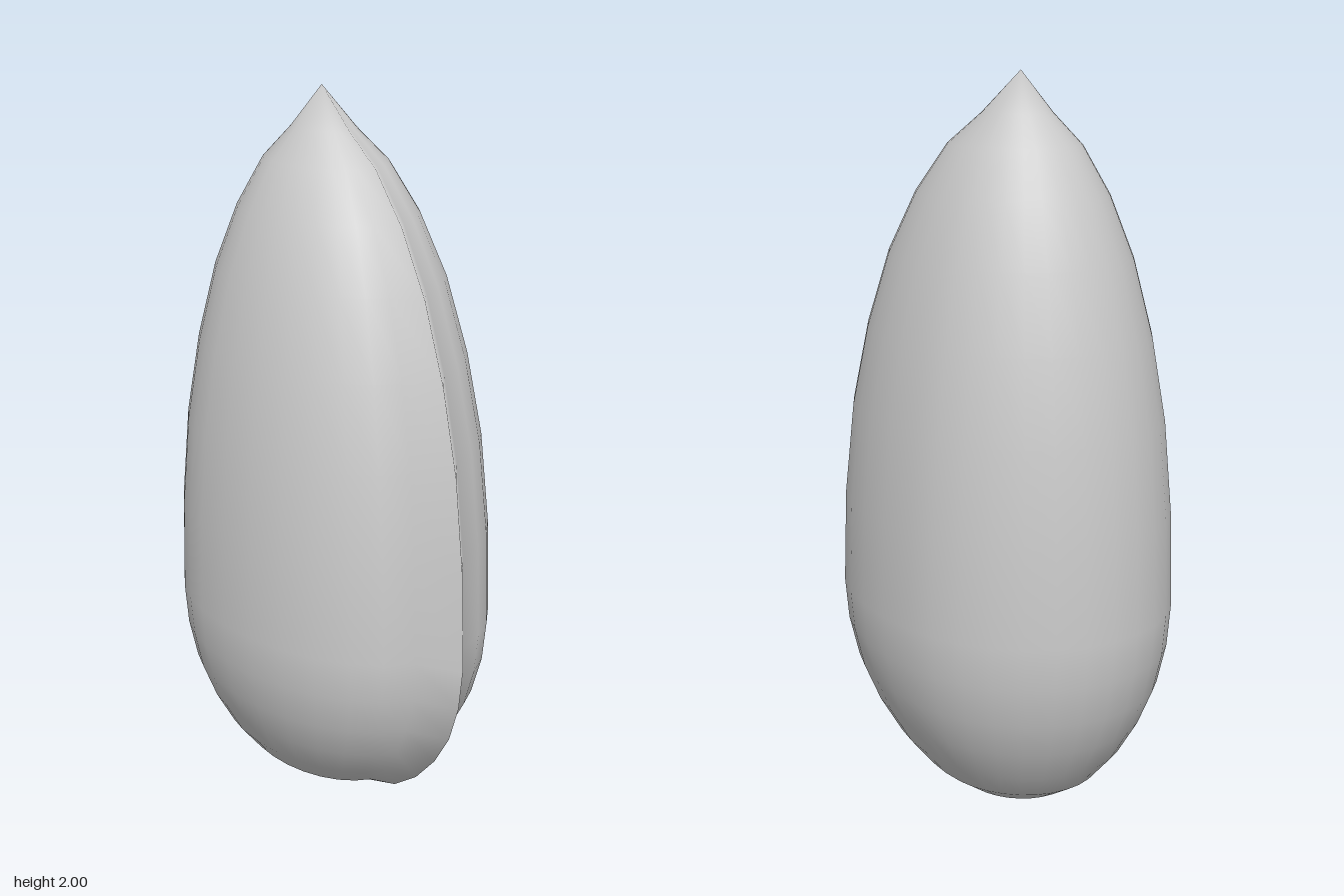
import * as THREE from 'three';
import { mergeVertices } from 'three/addons/utils/BufferGeometryUtils.js';

const SEGMENTS = 32;
const HALF_WIDTH = 0.4, BACK_DEPTH = 0.435, FRONT_DEPTH = 0.58, RIDGE_DEPTH = 0.672;
const AXIS_Z = -0.12;

// Silhouette from the rounded base to the pointed tip: [half width, height]
const PROFILE = [
  [0, 0], [0.08, 0.015], [0.153, 0.05], [0.222, 0.1], [0.283, 0.18], [0.333, 0.275],
  [0.37, 0.375], [0.392, 0.485], [0.4, 0.6], [0.392, 0.86], [0.37, 1.11], [0.333, 1.33],
  [0.283, 1.53], [0.222, 1.69], [0.153, 1.815], [0.08, 1.895], [0, 2],
];

// Turned body, reshaped into a teardrop section with a sharp ridge along the front
function podGeometry() {
  const points = PROFILE.map(([r, y]) => new THREE.Vector2(r / HALF_WIDTH, y));
  const geometry = new THREE.LatheGeometry(points, SEGMENTS, Math.PI);
  const pos = geometry.attributes.position;
  for (let i = 0; i < pos.count; i++) {
    const column = Math.floor(i / points.length);
    const z = pos.getZ(i);
    const depth = column === SEGMENTS / 2 ? RIDGE_DEPTH : z > 0 ? FRONT_DEPTH : BACK_DEPTH;
    pos.setX(i, pos.getX(i) * HALF_WIDTH);
    pos.setZ(i, z * depth + AXIS_Z);
  }
  // Weld the seam and the poles so the shading is continuous
  geometry.deleteAttribute('normal');
  geometry.deleteAttribute('uv');
  const welded = mergeVertices(geometry, 1e-4);
  welded.computeVertexNormals();
  return welded;
}

export function createModel() {
  const group = new THREE.Group();
  group.name = 'seedPod';
  const pod = new THREE.Mesh(
    podGeometry(),
    new THREE.MeshStandardMaterial({ color: 0xcccccc })
  );
  pod.name = 'ridgedPod';
  group.add(pod);
  return group;
}
